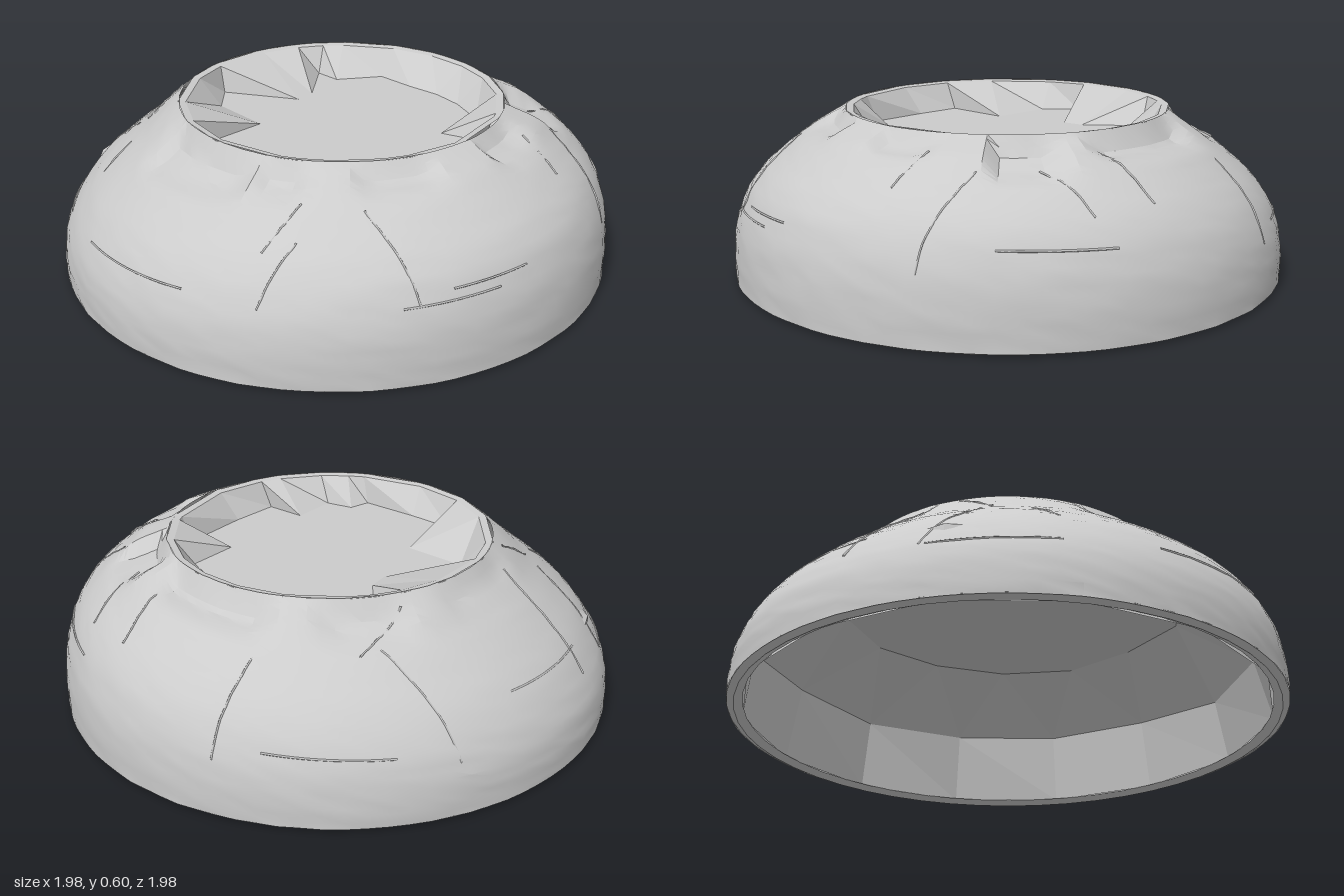
import * as THREE from 'three';
import { toCreasedNormals } from 'three/addons/utils/BufferGeometryUtils.js';

const grey = new THREE.MeshStandardMaterial({ color: 0xcccccc, side: THREE.DoubleSide });
const flat = new THREE.MeshStandardMaterial({ color: 0xcccccc, flatShading: true, side: THREE.DoubleSide });
const V = (x, y, z) => new THREE.Vector3(x, y, z);
const { clamp, degToRad } = THREE.MathUtils;

// Small seeded noise in -1..1
let seed = 7;
const noise = () => {
  seed = (seed * 16807) % 2147483647;
  return (seed / 2147483647) * 2 - 1;
};

// Skin a list of rings (equal point counts), going up the outside or inward over the top
function loft(rings) {
  const n = rings[0].length, pos = [], idx = [];
  rings.forEach(r => r.forEach(p => pos.push(p.x, p.y, p.z)));
  for (let j = 0; j < rings.length - 1; j++) {
    for (let i = 0; i < n; i++) {
      const a = j * n + i, b = j * n + (i + 1) % n;
      idx.push(a, a + n, b + n, a, b + n, b);
    }
  }
  const g = new THREE.BufferGeometry();
  g.setAttribute('position', new THREE.Float32BufferAttribute(pos, 3));
  g.setIndex(idx);
  return g;
}

const ring = (n, fn) => Array.from({ length: n }, (_, i) => fn((i / n) * Math.PI * 2));

// Outer dome section: radius and height, from the base to the broken rim
const section = [[0.99, 0.01], [0.99, 0.1], [0.975, 0.2], [0.935, 0.295], [0.88, 0.37],
  [0.82, 0.425], [0.72, 0.505], [0.65, 0.555], [0.578, 0.602]];
const curve = new THREE.CatmullRomCurve3(section.map(([r, y]) => V(r, y, 0)));
const samples = curve.getPoints(80);

// Height of the dome at a given radius
const domeHeight = r => samples.reduce((m, p) => Math.abs(p.x - r) < Math.abs(m.x - r) ? p : m).y;

// Facets broken off below the rim: direction, half width in degrees, depth, outer radius
const chips = [[0, 22, 0.045, 0.74], [41, 11, 0.05, 0.8], [77, 11, 0.03, 0.76], [118, 13, 0.03, 0.74],
  [152, 9, 0.035, 0.74], [181, 20, 0.045, 0.76], [268, 18, 0.025, 0.72], [312, 14, 0.035, 0.74]];

function chipDepth(x, z) {
  const r = Math.hypot(x, z), t = Math.atan2(z, x) * 180 / Math.PI;
  return chips.reduce((sum, [dir, half, depth, end]) => {
    const off = Math.abs(((t - dir + 540) % 360) - 180);
    const across = clamp((half - off) / 4, 0, 1);
    const along = Math.min(clamp((r - 0.58) / 0.035, 0, 1), clamp((end - r) / 0.1, 0, 1));
    return sum + depth * across * along;
  }, 0);
}

// The dome leans: its shoulder is higher at the front and left, and the rim is off centre
function settle(x, y, z) {
  const shift = (y / 0.6) ** 2;
  const lean = clamp((0.602 - y) / 0.08, 0, 1) * Math.min(1, y / 0.3);
  return V(x + 0.015 * shift, y + (0.02 * x + 0.045 * z) * lean - chipDepth(x, z), z + 0.018 * shift);
}

function outerShell() {
  const rows = 30, rings = [];
  for (let j = 0; j <= rows; j++) {
    const p = curve.getPointAt(j / rows);
    rings.push(ring(90, t => {
      const r = p.x + noise() * 0.002;
      return settle(Math.cos(t) * r, p.y, Math.sin(t) * r);
    }));
  }
  return toCreasedNormals(loft(rings), 0.35);
}

// Foot of the jagged bowl (x, z), turning from the left side to the front
const foot = [[0.46, 0.08], [0.44, 0.2], [0.38, 0.34], [0.19, 0.34], [0.24, 0.49], [-0.02, 0.5],
  [-0.2, 0.49], [-0.2, 0.34], [-0.37, 0.34], [-0.39, 0.24], [-0.47, 0.22], [-0.47, 0], [-0.46, -0.17],
  [-0.21, -0.17], [-0.2, -0.4], [-0.1, -0.5], [0.05, -0.25], [0.13, -0.26], [0.3, -0.4], [0.3, -0.3],
  [0.45, -0.2], [0.45, -0.05]];

// Broken facets fall from the rim to a flat floor
function recess() {
  const floorY = 0.5;
  const rim = (r, y) => foot.map(([x, z]) => {
    const t = Math.atan2(z, x);
    return V(0.015 + Math.cos(t) * r, y, 0.018 + Math.sin(t) * r);
  });
  return loft([rim(0.582, 0.6), rim(0.555, 0.596), foot.map(([x, z]) => V(x, floorY, z)), rim(0, floorY)]);
}

// Coarsely broken underside: ceiling and staggered rows of large facets
function innerShell() {
  const n = 14;
  const row = (r, y, shift, jr, jy) => ring(n, t => {
    const a = t + shift, rr = r + noise() * jr;
    return V(Math.cos(a) * rr, y + noise() * jy, Math.sin(a) * rr);
  });
  return loft([row(0, 0.47, 0, 0, 0), row(0.65, 0.468, 0.3, 0.03, 0.005), row(0.905, 0.27, 0.1, 0.01, 0.03),
    row(0.95, 0.015, 0.1, 0.006, 0)]);
}

// Narrow base edge joining the outside and the inside
function baseEdge() {
  const at = (r, y) => ring(48, t => V(Math.cos(t) * r, y, Math.sin(t) * r));
  return loft([at(0.935, 0.016), at(0.965, 0), at(0.99, 0.012)]);
}

// Hairline cracks: fixed axis, its value, start and end (y: degrees around), side
const cracks = [
  ['x', -0.46, 0.58, 0.84, 1], ['x', -0.46, 0.58, 0.84, -1], ['x', -0.2, 0.6, 0.92, -1],
  ['x', 0.45, 0.6, 0.86, 1], ['x', 0.45, 0.56, 0.86, -1], ['x', 0.26, 0.62, 0.78, 1],
  ['z', -0.53, 0.3, 0.52, 1], ['z', -0.53, 0.3, 0.46, -1], ['z', -0.26, 0.72, 0.94, 1],
  ['z', 0.21, 0.62, 0.84, 1], ['z', 0.42, 0.55, 0.78, 1], ['z', 0.42, 0.58, 0.74, -1],
  ['z', -0.47, 0.58, 0.7, -1], ['z', 0.49, 0.66, 0.82, -1],
  ['y', 0.25, 102, 122], ['y', 0.28, 95, 112], ['y', 0.28, 25, 48], ['y', 0.28, 165, 195],
  ['y', 0.25, 215, 240], ['y', 0.36, 255, 282], ['y', 0.25, 310, 335],
];

function crack([axis, value, from, to, side]) {
  const pts = [];
  for (let i = 0; i <= 8; i++) {
    const s = from + (to - from) * i / 8;
    if (axis === 'y') {
      const t = degToRad(s);
      const r = samples.reduce((m, p) => Math.abs(p.y - value) < Math.abs(m.y - value) ? p : m).x;
      pts.push(settle(Math.cos(t) * r, value, Math.sin(t) * r));
    } else {
      const y = domeHeight(Math.hypot(value, s));
      pts.push(axis === 'x' ? settle(value, y, s * side) : settle(s * side, y, value));
    }
  }
  return new THREE.TubeGeometry(new THREE.CatmullRomCurve3(pts), 16, 0.004, 4);
}

export function createModel() {
  const model = new THREE.Group();
  model.name = 'brokenDome';
  const add = (name, geometry, material, parent = model) => {
    const mesh = new THREE.Mesh(geometry, material);
    mesh.name = name;
    parent.add(mesh);
  };
  add('outerShell', outerShell(), grey);
  add('recess', recess(), flat);
  add('innerShell', innerShell(), flat);
  add('baseEdge', baseEdge(), flat);

  const lines = new THREE.Group();
  lines.name = 'cracks';
  cracks.forEach(c => add('crack', crack(c), grey, lines));
  model.add(lines);
  return model;
}
